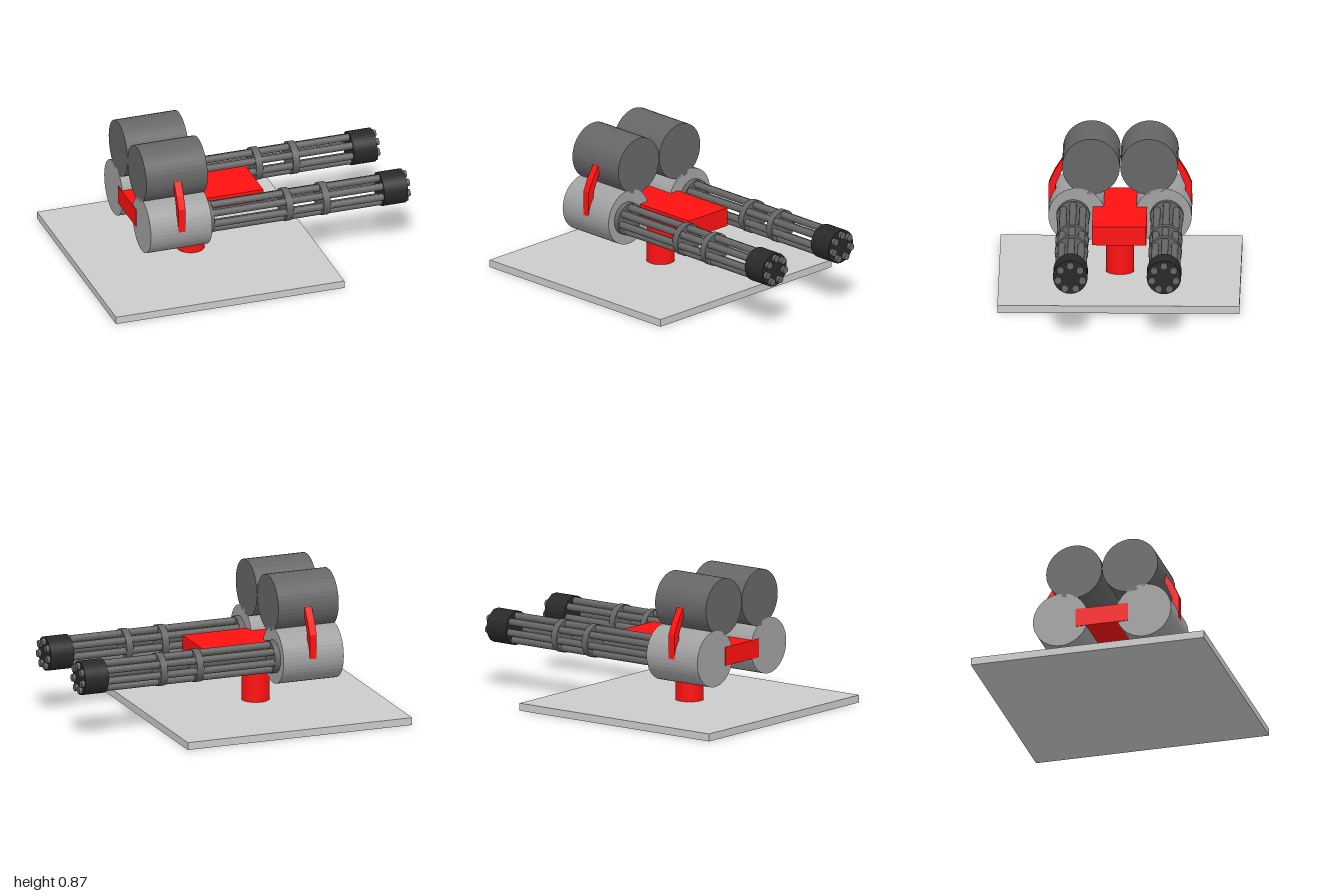
import * as THREE from 'three';

const mat = (color) => new THREE.MeshStandardMaterial({ color, flatShading: true });

export function createModel() {
  const root = new THREE.Group();
  root.name = 'twinRotaryTurret';
  const lightGrey = mat(0xcccccc), midGrey = mat(0xa2a2a2), darkGrey = mat(0x666666);
  const black = mat(0x282828), red = mat(0xff1111);

  const add = (parent, name, geometry, material, x, y, z) => {
    const mesh = new THREE.Mesh(geometry, material);
    mesh.name = name;
    mesh.position.set(x, y, z);
    parent.add(mesh);
    return mesh;
  };
  // Cylinder lying along x, from x0 to x1
  const rod = (parent, name, r, x0, x1, y, z, material, sides = 40) =>
    add(parent, name, new THREE.CylinderGeometry(r, r, x1 - x0, sides).rotateZ(-Math.PI / 2),
      material, (x0 + x1) / 2, y, z);

  // Base plate, pedestal and cradle
  add(root, 'basePlate', new THREE.BoxGeometry(1.455, 0.046, 1.458), lightGrey, -0.2725, 0.023, 0);
  add(root, 'pedestal', new THREE.CylinderGeometry(0.085, 0.085, 0.3, 40), red, -0.274, 0.19, 0);
  add(root, 'cradle', new THREE.BoxGeometry(0.813, 0.115, 0.327), red, -0.273, 0.387, 0);

  // Feed bracket outline in (z, y), extruded along x
  const bracketShape = new THREE.Shape([
    [0.39, 0.39], [0.432, 0.39], [0.432, 0.54], [0.398, 0.615], [0.348, 0.695],
    [0.325, 0.675], [0.358, 0.605], [0.39, 0.53],
  ].map(([z, y]) => new THREE.Vector2(z, y)));

  for (const side of [1, -1]) {
    const gun = new THREE.Group();
    gun.name = side > 0 ? 'leftGun' : 'rightGun';
    root.add(gun);

    rod(gun, 'motorHousing', 0.172, -0.675, -0.285, 0.387, side * 0.26, midGrey);
    rod(gun, 'ammoDrum', 0.174, -0.675, -0.285, 0.695, side * 0.175, darkGrey);

    // The extrusion axis turns to x; the half turn mirrors the bracket
    const bracket = new THREE.ExtrudeGeometry(bracketShape, { depth: 0.045, bevelEnabled: false });
    bracket.translate(0, 0, -0.0225).rotateY(-side * Math.PI / 2);
    add(gun, 'feedBracket', bracket, red, -0.477, 0, 0);

    // Seven barrels around an open centre
    const cy = 0.387, cz = side * 0.282;
    for (let i = 0; i < 7; i++) {
      const a = (i / 7) * Math.PI * 2;
      rod(gun, 'barrel', 0.022, -0.285, 1, cy + 0.075 * Math.cos(a), cz + 0.075 * Math.sin(a), darkGrey, 20);
    }
    // Clamp rings and muzzle cap
    for (const [x0, x1] of [[-0.287, -0.25], [0.21, 0.253], [0.445, 0.488]])
      rod(gun, 'clampRing', 0.101, x0, x1, cy, cz, darkGrey);
    rod(gun, 'muzzleCap', 0.104, 0.83, 0.98, cy, cz, black);
  }
  return root;
}
